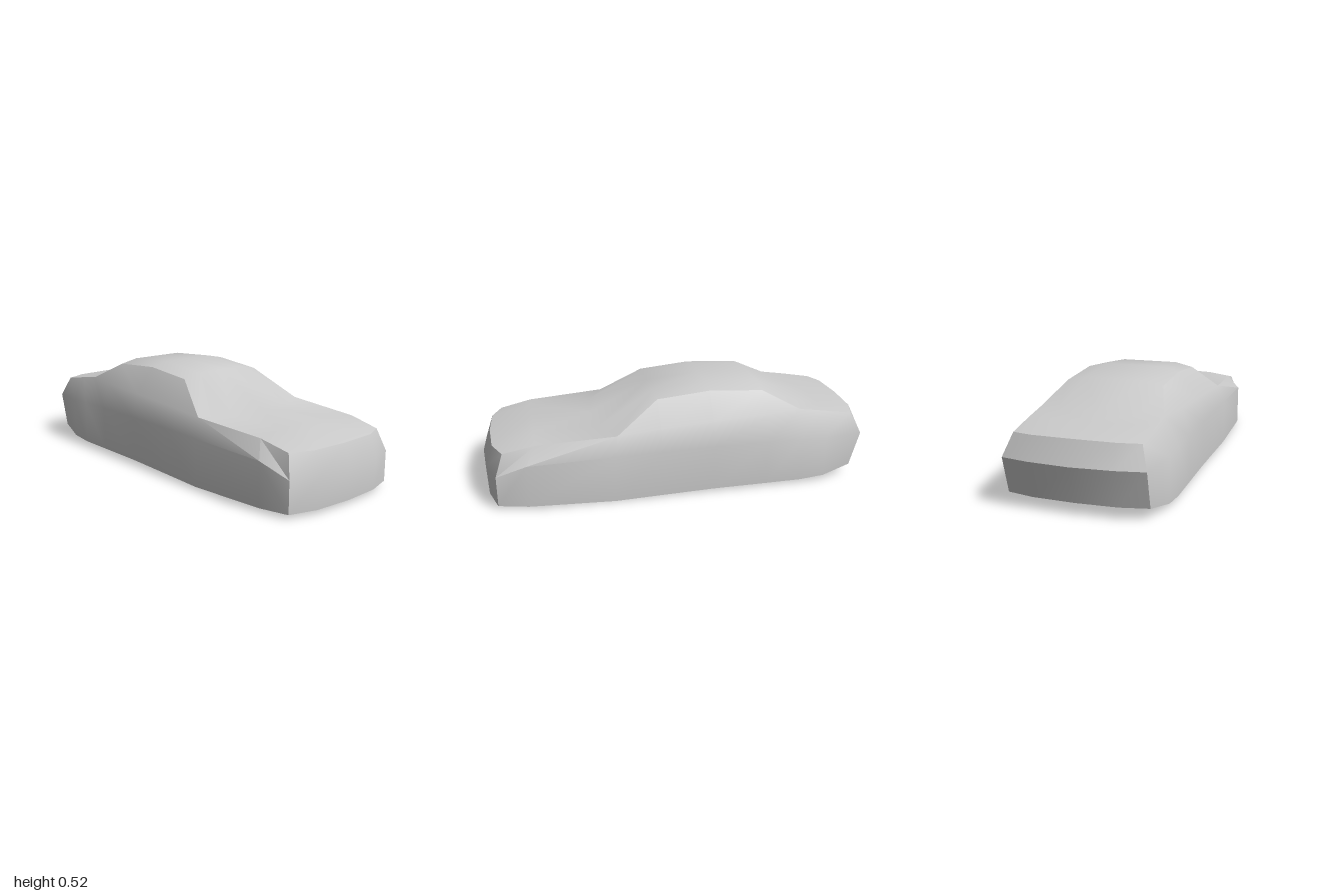
import * as THREE from 'three';
import { toCreasedNormals } from 'three/addons/utils/BufferGeometryUtils.js';

// Key sections from nose to tail:
// z, sill height, half width, belt height, shoulder x and y, top height,
// bow (how far the centre runs ahead in z), lean (shoulder offset in z)
const sections = [
  [0.938, 0.02, 0.342, 0.175, 0.31, 0.283, 0.285, 0.06, -0.038],
  [0.79, 0.018, 0.377, 0.235, 0.32, 0.316, 0.341, 0, -0.05],
  [0.36, 0, 0.377, 0.243, 0.342, 0.338, 0.341, 0.095, -0.02],
  [0.12, 0.007, 0.377, 0.248, 0.344, 0.356, 0.499, 0.01, 0],
  [-0.15, 0.014, 0.377, 0.25, 0.344, 0.372, 0.524, 0, 0],
  [-0.43, 0.015, 0.377, 0.25, 0.341, 0.384, 0.505, 0, 0],
  [-0.62, 0.016, 0.377, 0.25, 0.306, 0.388, 0.392, -0.04, 0],
  [-0.75, 0.026, 0.373, 0.243, 0.304, 0.368, 0.377, -0.01, 0],
  [-0.96, 0.057, 0.335, 0.235, 0.3, 0.34, 0.346, -0.042, 0.05],
];

const flip = ([x, y, z]) => [-x, y, z];
const same = (a, b) => a.every((v, i) => Math.abs(v - b[i]) < 1e-6);

// Named points of one half section; the cabin rises from the shoulder to a narrower roof
function sectionPoints([z, sillY, side, beltY, shoulderX, shoulderY, topY, bow, lean]) {
  const cabin = topY - shoulderY > 0.1;
  const sillZ = z + Math.max(lean, 0);
  const topZ = z + lean;
  const shoulder = [shoulderX, shoulderY, topZ];
  return {
    bottomCentre: [0, sillY, sillZ + bow * 0.9],
    bottomMid: [0.2, sillY, sillZ + bow * 0.7],
    sill: [side, sillY, sillZ],
    belt: [side, beltY, z],
    shoulder,
    edge: cabin ? [0.245, topY - 0.02, topZ] : shoulder,
    topMid: cabin
      ? [0.15, topY, topZ + bow]
      : [0.2, THREE.MathUtils.lerp(shoulderY, topY, 0.75), topZ + bow * 0.8],
    topCentre: [0, topY, topZ + bow],
  };
}

// Closed ring, counter-clockwise seen from the front, starting at the bottom centre
function makeRing(p) {
  const half = [p.bottomMid, p.sill, p.belt, p.shoulder, p.edge, p.topMid];
  return [p.bottomCentre, ...half, p.topCentre, ...half.map(flip).reverse()];
}

// Bowed end panel: bottom, middle and top rows from -x to +x
function endRows(p, tipZ) {
  const row = (outer, inner, centre) => [flip(outer), flip(inner), centre, inner, outer];
  const beltY = p.belt[1];
  return [
    row(p.sill, p.bottomMid, p.bottomCentre),
    row(p.belt, [0.2, beltY, tipZ * 0.986], [0, beltY, tipZ]),
    row(p.shoulder, p.topMid, p.topCentre),
  ];
}

// Collects quads into one mesh surface, smooth except at sharp edges
function surface(build) {
  const data = [];
  const tri = (a, b, c) => {
    if (!same(a, b) && !same(b, c) && !same(a, c)) data.push(...a, ...b, ...c);
  };
  build((a, b, c, d) => { tri(a, b, c); tri(a, c, d); });
  const geometry = new THREE.BufferGeometry();
  geometry.setAttribute('position', new THREE.Float32BufferAttribute(data, 3));
  return toCreasedNormals(geometry, 0.55);
}

export function createModel() {
  const group = new THREE.Group();
  group.name = 'car';
  const material = new THREE.MeshStandardMaterial({ color: 0xcccccc });
  const points = sections.map(sectionPoints);

  const addPart = (name, build) => {
    const mesh = new THREE.Mesh(surface(build), material);
    mesh.name = name;
    group.add(mesh);
  };

  // Sides, bonnet, cabin, boot and underside
  addPart('bodyShell', (quad) => {
    const rings = points.map(makeRing);
    for (let i = 0; i < rings.length - 1; i++) {
      const r = rings[i], s = rings[i + 1], n = r.length;
      for (let j = 0; j < n; j++) {
        const k = (j + 1) % n;
        // Mirror the diagonals so both sides match
        if (j < n / 2) quad(r[j], s[j], s[k], r[k]);
        else quad(r[k], r[j], s[j], s[k]);
      }
    }
  });

  // Nose and tail panels
  const addEnd = (name, p, tipZ) => addPart(name, (quad) => {
    const rows = endRows(p, tipZ);
    for (let r = 0; r < 2; r++) {
      for (let c = 0; c < 4; c++) {
        const corners = [rows[r][c], rows[r][c + 1], rows[r + 1][c + 1], rows[r + 1][c]];
        if (tipZ < 0) corners.reverse();
        quad(...corners);
      }
    }
  });
  addEnd('nosePanel', points[0], 1);
  addEnd('tailPanel', points[points.length - 1], -1);
  return group;
}
